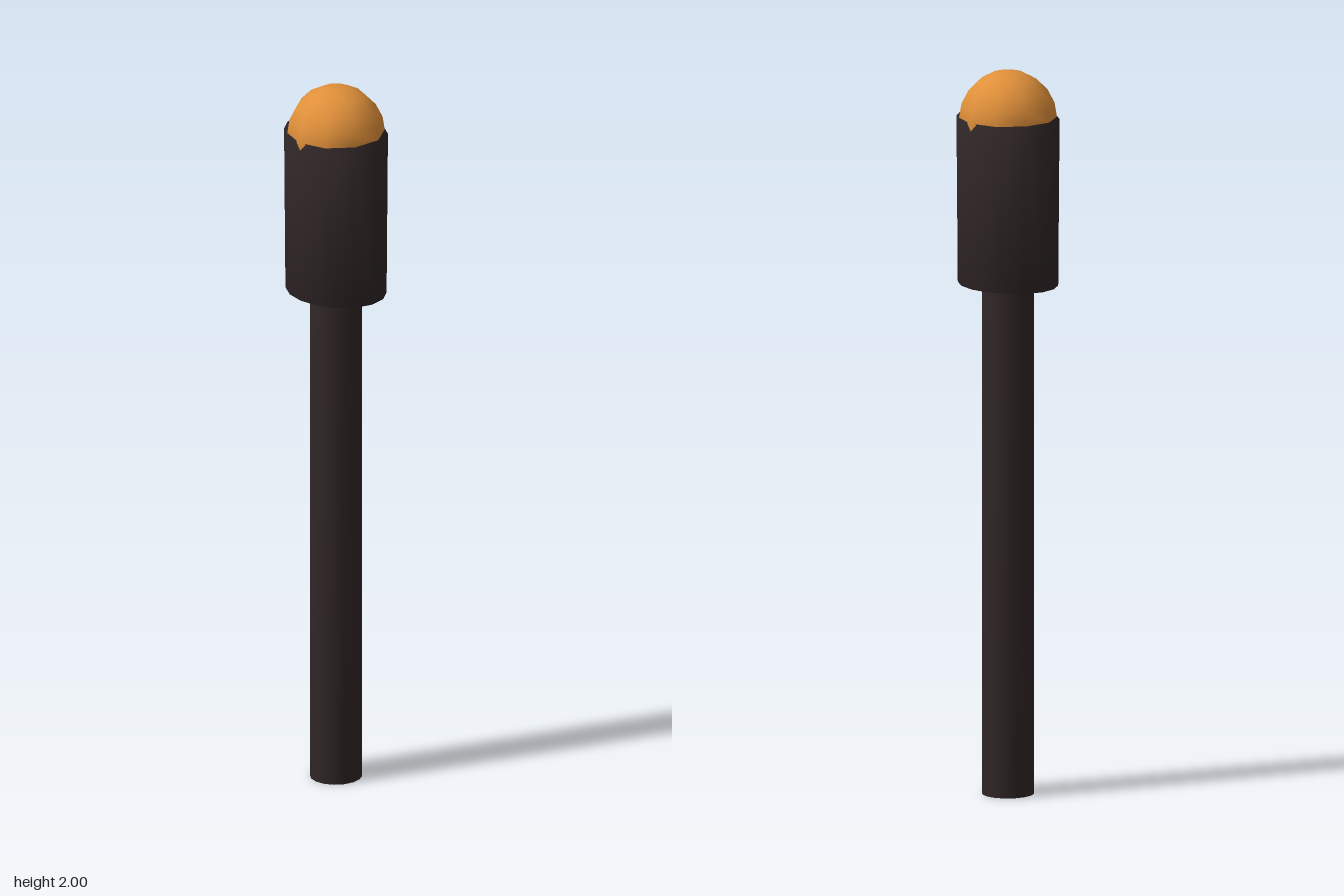
import * as THREE from 'three';

export function createModel() {
  const group = new THREE.Group();
  const darkMetal = new THREE.MeshStandardMaterial({ color: 0x302627 });
  darkMetal.name = 'darkMetal';
  const amber = new THREE.MeshStandardMaterial({ color: 0xe0903a });
  amber.name = 'amber';

  // Closed round column with soft normals running over its ends
  const column = (name, bottomRadius, topRadius, y0, y1, depth) => {
    const profile = [[0, y0], [bottomRadius, y0], [topRadius, y1], [0, y1]]
      .map(([r, y]) => new THREE.Vector2(r, y));
    const geometry = new THREE.LatheGeometry(profile, 16);
    geometry.scale(1, 1, depth);
    const mesh = new THREE.Mesh(geometry, darkMetal);
    mesh.name = name;
    group.add(mesh);
  };

  column('post', 0.07, 0.07, 0, 1.43, 1.02);
  // Oval holder, wider from side to side
  column('lampHolder', 0.149, 0.153, 1.41, 1.87, 0.85);

  // Ten-sided globe with a corner at the front and back
  const globeGeometry = new THREE.SphereGeometry(0.133, 10, 10);
  globeGeometry.rotateY(Math.PI / 2);
  const globe = new THREE.Mesh(globeGeometry, amber);
  globe.name = 'lampGlobe';
  globe.position.y = 1.867;
  group.add(globe);

  return group;
}
